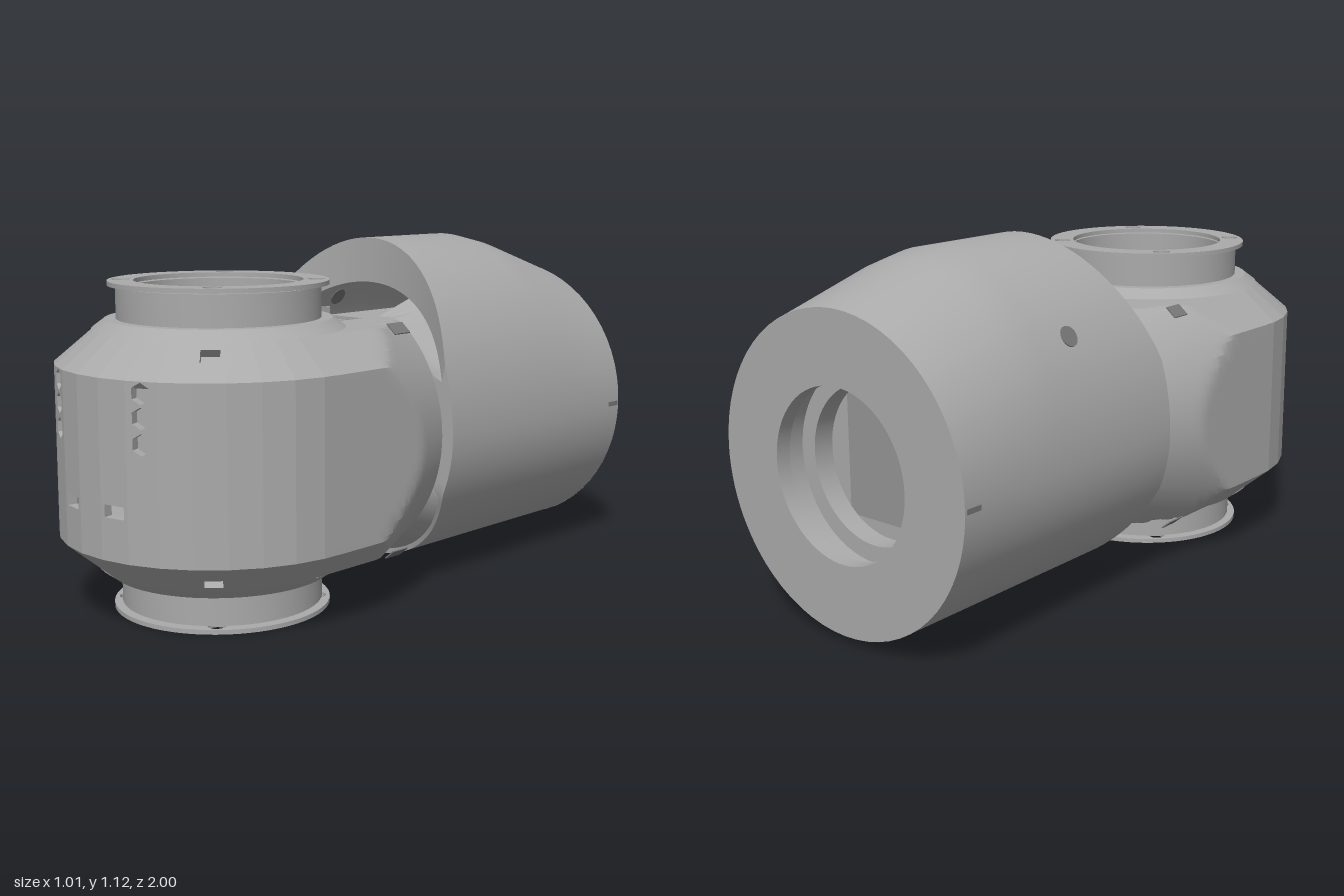
import * as THREE from 'three';
import { toCreasedNormals } from 'three/addons/utils/BufferGeometryUtils.js';

const CY = 0.515;          // height of the barrel axis
const CZ = 0.495;          // z of the upright housing axis
const STEP = Math.PI / 16; // one facet of the housing
const SLOT = 0.17;         // half width of the inner slot

export function createModel() {
  const root = new THREE.Group();
  const gray = new THREE.MeshStandardMaterial({ color: 0xaaaaaa, side: THREE.DoubleSide });
  gray.name = 'plainGray';
  const dark = new THREE.MeshStandardMaterial({ color: 0x777777, side: THREE.DoubleSide });
  dark.name = 'recessGray';

  const add = (name, geo, parent = root, mat = gray) => {
    const m = new THREE.Mesh(geo, mat);
    m.name = name;
    parent.add(m);
    return m;
  };
  const box = (name, w, h, d, x, y, z, mat = gray) => {
    const m = add(name, new THREE.BoxGeometry(w, h, d), root, mat);
    m.position.set(x, y, z);
    return m;
  };
  const lathe = (pts, n = 64) => toCreasedNormals(
    new THREE.LatheGeometry(pts.map(p => new THREE.Vector2(...p)), n), 0.4);
  const poly = pts => new THREE.Path(pts.map(p => new THREE.Vector2(...p)));
  const rect = (x0, y0, x1, y1) => poly([[x0, y0], [x1, y0], [x1, y1], [x0, y1]]);
  const circle = (x, y, r, Type = THREE.Path) => new Type().absarc(x, y, r, 0, Math.PI * 2);

  // Closed rings joined by quads; skip(i, j) leaves a cell open
  const loft = (rings, skip = () => false) => {
    const n = rings[0].length, pos = rings.flat(2), idx = [];
    for (let i = 0; i < rings.length - 1; i++) for (let j = 0; j < n; j++) {
      if (skip(i, j)) continue;
      const a = i * n + j, b = i * n + (j + 1) % n;
      idx.push(a, a + n, b, b, a + n, b + n);
    }
    const g = new THREE.BufferGeometry();
    g.setAttribute('position', new THREE.Float32BufferAttribute(pos, 3));
    g.setIndex(idx);
    return toCreasedNormals(g, 0.4);
  };

  // Faceted front of the housing: flat panels, some with real openings
  const housing = new THREE.Group();
  housing.name = 'frontHousing';
  housing.position.z = CZ;
  root.add(housing);
  const panel = (name, i, [r0, y0], [r1, y1], holes = [], backed = false) => {
    const k = Math.cos(STEP / 2), h = Math.sin(STEP / 2);
    const p0 = new THREE.Vector3(0, y0, r0 * k);
    const up = new THREE.Vector3(0, y1, r1 * k).sub(p0);
    const len = up.length();
    up.normalize();
    const side = new THREE.Vector3(1, 0, 0);
    const out = new THREE.Vector3().crossVectors(side, up);
    const s = new THREE.Shape([[-r0 * h, 0], [r0 * h, 0], [r1 * h, len], [-r1 * h, len]]
      .map(p => new THREE.Vector2(...p)));
    s.holes = holes;
    const m4 = new THREE.Matrix4().makeBasis(side, up, out).setPosition(p0);
    const g = new THREE.ExtrudeGeometry(s, { depth: 0.03, bevelEnabled: false });
    g.translate(0, 0, -0.03).applyMatrix4(m4);
    add(name, g, housing).rotation.y = i * STEP;
    if (backed) {
      const b = new THREE.BoxGeometry(0.075, len * 0.95, 0.006);
      b.translate(0, len / 2, -0.033).applyMatrix4(m4);
      add('recessFloor', b, housing).rotation.y = i * STEP;
    }
  };
  const hex = y => poly(Array.from({ length: 6 }, (_, k) =>
    [0.032 * Math.sin(k * Math.PI / 3), y + 0.032 * Math.cos(k * Math.PI / 3)]));
  for (let i = -8; i <= 8; i++) {
    const a = Math.abs(i);
    const wall = a === 2 ? [hex(0.495), hex(0.425), hex(0.35)]
      : a === 1 ? [rect(-0.036, 0.128, 0.036, 0.166)] : [];
    const vent = () => a === 4 ? [rect(-0.028, 0.075, 0.028, 0.125)] : [];
    panel('housingWall', i, [0.505, 0.25], [0.505, 0.78], wall, a === 2);
    panel('upperChamfer', i, [0.505, 0.78], [0.35, 0.91], vent(), a === 4);
    panel('lowerChamfer', i, [0.35, 0.12], [0.505, 0.25], vent(), a === 4);
  }

  // Round necks with screw flanges, mirrored top and bottom
  for (const top of [true, false]) {
    const end = new THREE.Group();
    end.name = top ? 'topCollar' : 'bottomCollar';
    end.position.set(0, CY, CZ);
    if (!top) end.rotation.z = Math.PI;
    root.add(end);
    add('neck', lathe([[0.39, 0.365], [0.35, 0.395], [0.315, 0.395], [0.315, 0.492],
      [0.26, 0.492], [0.26, 0.36]]), end);
    const ring = circle(0, 0, 0.34, THREE.Shape);
    ring.holes.push(circle(0, 0, 0.26));
    for (const sx of [-1, 1]) for (const sz of [-1, 1])
      ring.holes.push(circle(0.212 * sx, 0.212 * sz, 0.028));
    const fl = new THREE.ExtrudeGeometry(ring, { depth: 0.014, bevelEnabled: false, curveSegments: 32 });
    fl.rotateX(-Math.PI / 2).translate(0, 0.496, 0);
    add('flange', toCreasedNormals(fl, 0.4), end);
    const plate = circle(0, 0, 0.345, THREE.Shape);
    plate.holes.push(rect(-SLOT, -0.26, SLOT, 0.28));
    const pg = new THREE.ShapeGeometry(plate, 32);
    pg.rotateX(-Math.PI / 2).translate(0, 0.367, 0);
    add('slotPlate', pg, end);
  }

  // Shared ring angles, with the slot edges and chamfer corners kept exact
  const angles = Array.from({ length: 96 }, (_, k) => k * Math.PI / 48);
  for (const [x, y] of [[SLOT, 0.365], [0.386, 0.365], [0.505, 0.265]]) {
    const t = Math.atan2(y, x);
    angles.push(t, Math.PI - t, Math.PI + t, 2 * Math.PI - t);
  }
  angles.sort((a, b) => a - b);
  const slotAngle = Math.atan2(0.365, SLOT);
  const midAngle = j => (angles[j] + (angles[j + 1] ?? Math.PI * 2)) / 2;
  const inTop = j => Math.abs(midAngle(j) - Math.PI / 2) < Math.PI / 2 - slotAngle;
  const inBottom = j => Math.abs(midAngle(j) - Math.PI * 1.5) < Math.PI / 2 - slotAngle;

  // Rear of the housing: chamfered block trimmed by a cone about the barrel axis
  const neckRing = z => angles.map(a => {
    const c = Math.abs(Math.cos(a)), s = Math.abs(Math.sin(a));
    const r = Math.min(0.505 / Math.max(c, 1e-6), 0.365 / Math.max(s, 1e-6),
      0.082 / (0.1 * c + 0.119 * s), 0.463 + 0.38 * z);
    return [r * Math.cos(a), CY + r * Math.sin(a), z];
  });
  const zs = Array.from({ length: 23 }, (_, k) => CZ - k * 0.545 / 22);
  add('rearHousing', loft(zs.map(neckRing),
    (i, j) => inTop(j) || (inBottom(j) && zs[i + 1] > 0.2)));

  // Barrel with a curved front rim and a raised, sloping crown
  const rimZ = a => {
    const t = Math.min(Math.max((0.487 * Math.abs(Math.sin(a)) - 0.185) / 0.3, 0), 1);
    return -0.05 - 0.135 * Math.pow(t, 1.15);
  };
  const oval = (rx, top, bottom, z) => angles.map(a => [rx * Math.cos(a),
    CY + (Math.sin(a) > 0 ? top : bottom) * Math.sin(a), z ?? rimZ(a)]);
  add('barrelRim', loft([neckRing(-0.05), oval(0.475, 0.46, 0.47), oval(0.488, 0.61, 0.487)],
    (i, j) => i === 0 && inTop(j)));
  add('barrel', loft([oval(0.488, 0.61, 0.487), oval(0.488, 0.61, 0.487, -0.58),
    oval(0.488, 0.585, 0.487, -0.7), oval(0.488, 0.487, 0.487, -1)]));

  // Rear face and stepped bore
  const bore = lathe([[0.488, -1], [0.265, -1], [0.265, -0.95], [0.3, -0.95], [0.3, -0.87],
    [0.245, -0.87], [0.245, -0.8]]);
  bore.rotateX(Math.PI / 2);
  const boreMesh = add('rearBore', bore);
  boreMesh.position.y = CY;
  const back = circle(0, 0, 0.3, THREE.Shape);
  back.holes.push(rect(-SLOT, -0.2, SLOT, 0.2));
  add('borePlate', new THREE.ShapeGeometry(back, 32)).position.set(0, CY, -0.8);

  // Inner slot and mounting tabs
  for (const s of [-1, 1]) {
    box('slotWall', 0.01, 0.73, 0.87, s * (SLOT + 0.005), CY, 0.265);
    box('rearSlotWall', 0.01, 0.66, 0.63, s * (SLOT + 0.005), CY, -0.485);
    box('rearSlotCover', 0.35, 0.01, 0.63, 0, CY + s * 0.33, -0.485);
  }
  const tab = (y, z) => {
    const s = new THREE.Shape(rect(-SLOT, -0.04, SLOT, 0.04).getPoints());
    s.holes.push(circle(-0.09, 0, 0.028), circle(0.09, 0, 0.028));
    const g = new THREE.ExtrudeGeometry(s, { depth: 0.04, bevelEnabled: false });
    g.rotateX(-Math.PI / 2);
    add('mountTab', g).position.set(0, y, z);
    box('mountTabFloor', 2 * SLOT, 0.006, 0.08, 0, y + 0.01, z);
  };
  tab(0.8, -0.12);
  tab(0.68, 0.69);
  tab(0.22, 0.69);
  box('slotStep', 2 * SLOT, 0.1, 0.1, 0, 0.22, -0.05);

  // Small openings on the rear chamfers and the barrel
  for (const sx of [-1, 1]) {
    for (const sy of [-1, 1]) {
      const v = box('rearVent', 0.045, 0.004, 0.07, sx * 0.395, CY + sy * 0.3575, 0.11, dark);
      v.rotation.z = -sx * sy * Math.atan2(0.1, 0.119);
    }
    box('sideNotch', 0.004, 0.016, 0.055, sx * 0.488, CY, -0.965, dark);
  }
  const hole = add('barrelHole', new THREE.CylinderGeometry(0.033, 0.033, 0.006, 20), root, dark);
  const t = Math.acos(-0.39 / 0.488);
  hole.position.set(-0.39, CY + 0.61 * Math.sin(t), -0.44);
  hole.quaternion.setFromUnitVectors(new THREE.Vector3(0, 1, 0),
    new THREE.Vector3(Math.cos(t) / 0.488, Math.sin(t) / 0.61, 0).normalize());

  return root;
}
